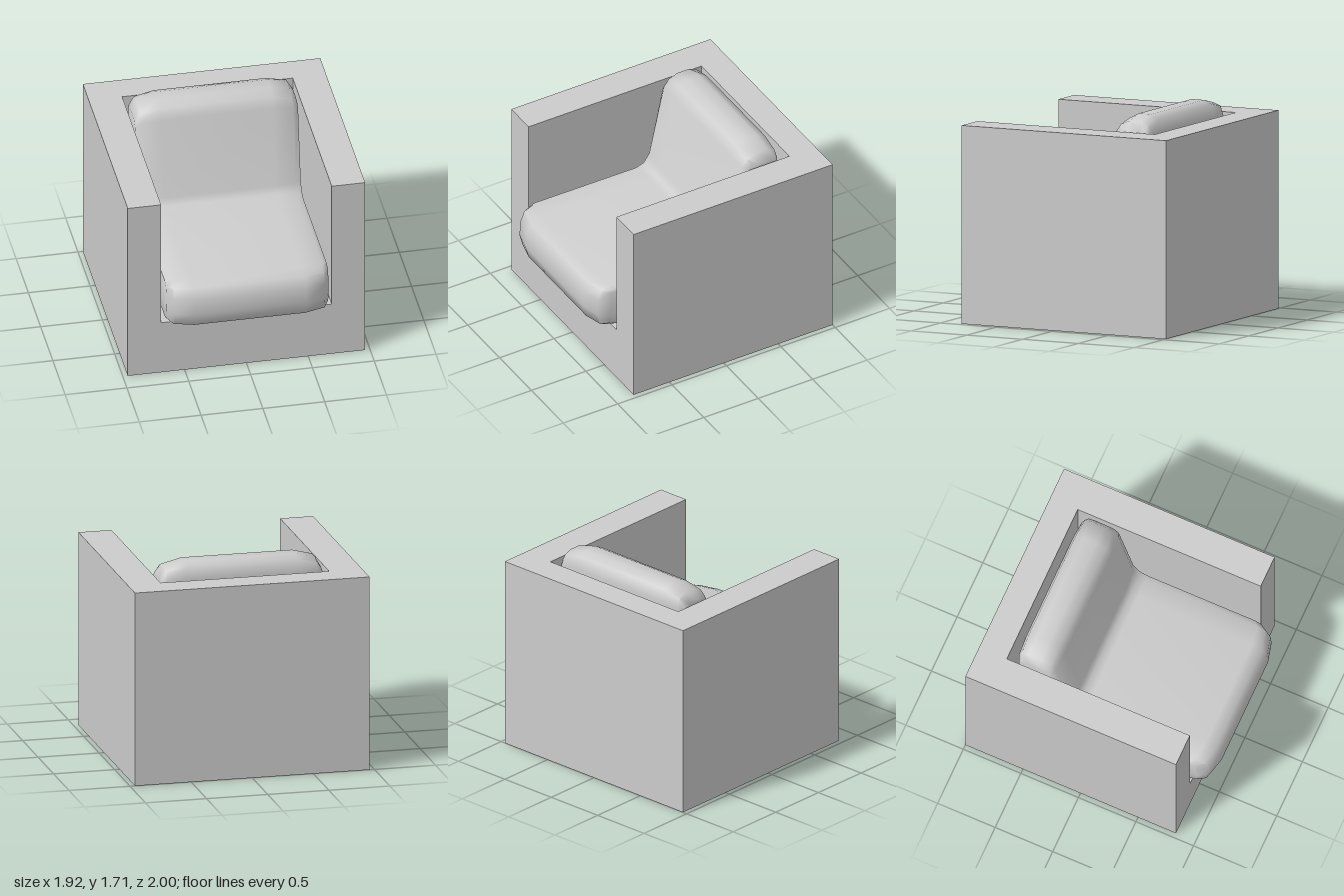
import * as THREE from 'three';
import { toCreasedNormals } from 'three/addons/utils/BufferGeometryUtils.js';

const material = new THREE.MeshStandardMaterial({ color: 0xcccccc, side: THREE.DoubleSide });

function add(group, geometry, name) {
  const mesh = new THREE.Mesh(geometry, material);
  mesh.name = name;
  group.add(mesh);
  return mesh;
}

// Cushion side profile, from the front bottom edge up, over and round:
// z, y, then the inward shift (dz, dy) reached at the rounded side edges.
const profile = [
  [0.88, 0.48, -0.06, 0.03], [0.97, 0.51, -0.11, 0.02], [1.0, 0.62, -0.12, 0.0],
  [0.99, 0.75, -0.12, 0.0], [0.95, 0.84, -0.10, -0.02], [0.86, 0.875, -0.06, -0.03],
  [-0.13, 0.87, -0.01, -0.03], [-0.19, 0.885, -0.02, -0.02], [-0.23, 0.94, -0.03, 0.0],
  [-0.36, 1.59, -0.03, -0.05], [-0.41, 1.67, -0.02, -0.09], [-0.49, 1.71, -0.01, -0.12],
  [-0.60, 1.71, 0.0, -0.12], [-0.67, 1.68, 0.02, -0.10], [-0.70, 1.58, 0.03, -0.05],
  [-0.57, 0.60, 0.03, 0.0], [-0.54, 0.52, 0.03, 0.02], [-0.46, 0.48, 0.01, 0.03],
];

// Sections across the width: x and share of the inward shift
const sections = [[-0.655, 1], [-0.61, 0.33], [-0.45, 0], [0.45, 0], [0.61, 0.33], [0.655, 1]];

function cushionGeometry() {
  const n = profile.length, positions = [], index = [];
  for (const [x, k] of sections) {
    for (const [z, y, dz, dy] of profile) {
      const widen = 1 + 0.01 * Math.max(0, y - 0.9);
      positions.push(x * widen, y + dy * k, z + dz * k);
    }
  }
  for (let i = 0; i < sections.length - 1; i++) {
    for (let j = 0; j < n; j++) {
      const a = i * n + j, b = i * n + (j + 1) % n;
      index.push(a, a + n, b + n, a, b + n, b);
    }
  }
  // Flat side caps
  const outline = profile.map(([z, y, dz, dy]) => new THREE.Vector2(z + dz, y + dy));
  const last = (sections.length - 1) * n;
  for (const [a, b, c] of THREE.ShapeUtils.triangulateShape(outline, [])) {
    index.push(a, b, c, last + a, last + c, last + b);
  }
  const geometry = new THREE.BufferGeometry();
  geometry.setAttribute('position', new THREE.Float32BufferAttribute(positions, 3));
  geometry.setIndex(index);
  return toCreasedNormals(geometry, 1.05);
}

export function createModel() {
  const chair = new THREE.Group();
  chair.name = 'armchair';

  // Base and both arms as one U-shaped section
  const u = new THREE.Shape([
    [-0.96, 0], [0.96, 0], [0.96, 1.59], [0.69, 1.59],
    [0.69, 0.47], [-0.69, 0.47], [-0.69, 1.59], [-0.96, 1.59],
  ].map(([x, y]) => new THREE.Vector2(x, y)));
  const arms = new THREE.ExtrudeGeometry(u, { depth: 1.59, bevelEnabled: false });
  add(chair, arms, 'baseAndArms').position.z = -0.76;

  // Back wall
  add(chair, new THREE.BoxGeometry(1.92, 1.59, 0.24), 'backWall').position.set(0, 0.795, -0.88);

  // Seat and leaning backrest in one soft piece
  add(chair, cushionGeometry(), 'cushion');
  return chair;
}
